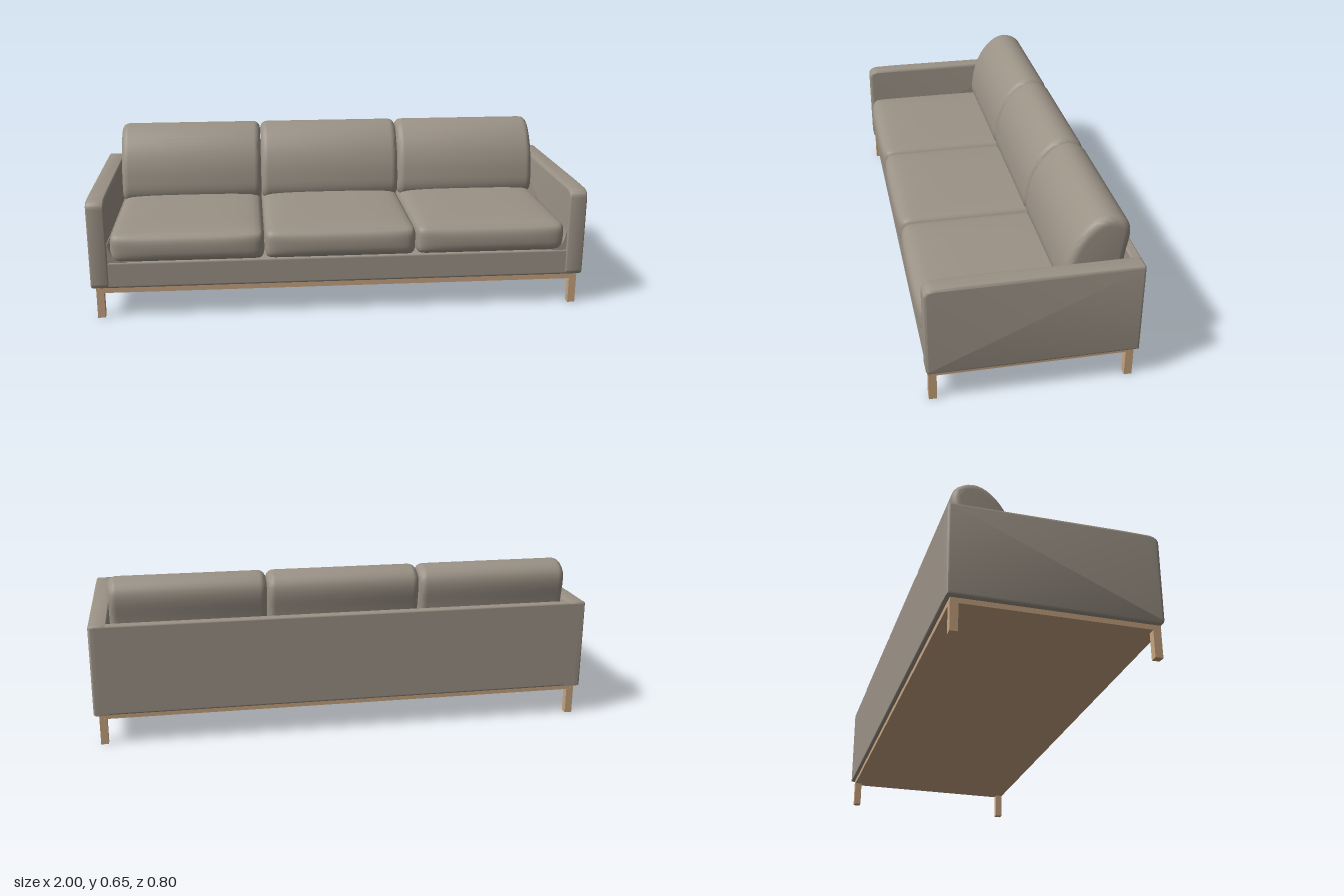
import * as THREE from 'three';
import { mergeVertices, toCreasedNormals } from 'three/addons/utils/BufferGeometryUtils.js';
import { RoundedBoxGeometry } from 'three/addons/geometries/RoundedBoxGeometry.js';

const fabric = new THREE.MeshStandardMaterial({ color: 0x9b9286 });
fabric.name = 'greyFabric';
const wood = new THREE.MeshStandardMaterial({ color: 0xc8a480 });
wood.name = 'lightWood';

function add(group, name, geometry, material, x = 0, y = 0, z = 0) {
  const mesh = new THREE.Mesh(geometry, material);
  mesh.name = name;
  mesh.position.set(x, y, z);
  group.add(mesh);
  return mesh;
}

// Extrude a side profile drawn in (z, y) across x, centred, with rounded ends
function sideExtrude(shape, width, bevel, curveSegments) {
  const geo = new THREE.ExtrudeGeometry(shape, {
    depth: width - bevel * 2, bevelThickness: bevel, bevelSize: bevel,
    bevelOffset: -bevel, bevelSegments: 5, curveSegments,
  });
  geo.translate(0, 0, -width / 2 + bevel);
  geo.rotateY(-Math.PI / 2);
  return toCreasedNormals(geo, 0.7);
}

// Soft box: rounded edges, with a slight dome on top and a bowed front
function cushionGeometry(w, h, d, r) {
  let geo = new THREE.BoxGeometry(2, 2, 2, 18, 12, 18);
  geo.deleteAttribute('normal');
  geo.deleteAttribute('uv');
  geo = mergeVertices(geo);
  const half = new THREE.Vector3(w / 2, h / 2, d / 2);
  const inner = half.clone().subScalar(r);
  const pos = geo.attributes.position;
  const p = new THREE.Vector3(), core = new THREE.Vector3();
  for (let i = 0; i < pos.count; i++) {
    p.fromBufferAttribute(pos, i);
    // Crowd the grid lines towards the edges
    p.set(...p.toArray().map((v) => Math.sin(v * Math.PI / 2)));
    const dome = (1 - p.x ** 4) * (1 - p.z ** 4);
    const bow = (1 - p.x ** 4) * (1 - p.y ** 2);
    const up = Math.max(0, p.y), front = Math.max(0, p.z);
    p.multiply(half);
    core.copy(p).clamp(inner.clone().negate(), inner);
    p.sub(core).setLength(r).add(core);
    p.y += 0.012 * dome * up;
    p.z += 0.012 * bow * front;
    pos.setXYZ(i, p.x, p.y, p.z);
  }
  geo.computeVertexNormals();
  return geo;
}

export function createModel() {
  const sofa = new THREE.Group();
  sofa.name = 'sofa';

  // Wooden base and square legs
  add(sofa, 'woodenBase', new THREE.BoxGeometry(1.96, 0.022, 0.765), wood, 0, 0.117, -0.002);
  for (const x of [-1, 1]) {
    for (const z of [-0.37, 0.365]) {
      add(sofa, 'leg', new THREE.BoxGeometry(0.03, 0.11, 0.03), wood, x * 0.965, 0.055, z);
    }
  }

  // Upholstered platform and back panel
  add(sofa, 'seatPlatform', new RoundedBoxGeometry(1.94, 0.11, 0.775, 3, 0.01), fabric, 0, 0.18, -0.0025);
  add(sofa, 'backPanel', new RoundedBoxGeometry(1.97, 0.364, 0.037, 3, 0.008), fabric, 0, 0.308, -0.3815);

  // Arms with a rounded upper front corner
  const arm = new THREE.Shape();
  arm.moveTo(-0.4, 0.126);
  arm.lineTo(0.375, 0.126);
  arm.quadraticCurveTo(0.39, 0.128, 0.39, 0.145);
  arm.lineTo(0.392, 0.455);
  arm.quadraticCurveTo(0.392, 0.487, 0.35, 0.489);
  arm.lineTo(0.25, 0.491);
  arm.lineTo(-0.39, 0.491);
  arm.quadraticCurveTo(-0.4, 0.491, -0.4, 0.481);
  arm.closePath();
  const armGeo = sideExtrude(arm, 0.072, 0.01, 6);

  // Curved fillet where the arm meets the platform
  const fillet = new THREE.Shape();
  fillet.moveTo(0.94, 0.22);
  fillet.lineTo(0.94, 0.31);
  fillet.lineTo(0.925, 0.31);
  fillet.quadraticCurveTo(0.92, 0.235, 0.85, 0.234);
  fillet.lineTo(0.85, 0.22);
  fillet.closePath();
  const filletGeo = new THREE.ExtrudeGeometry(fillet, { depth: 0.74, bevelEnabled: false, curveSegments: 8 });
  filletGeo.translate(0, 0, -0.37);

  for (const side of [-1, 1]) {
    const name = side > 0 ? 'left' : 'right';
    add(sofa, name + 'Arm', armGeo, fabric, side * 0.964, 0, 0);
    const f = add(sofa, name + 'ArmFillet', filletGeo, fabric, 0, 0, 0.012);
    if (side < 0) f.rotation.y = Math.PI, f.position.z = 0.012;
  }

  // Back cushion profile: leaning, rounded on top
  const outline = new THREE.CatmullRomCurve3([
    [-0.14, 0.335], [-0.122, 0.37], [-0.125, 0.43], [-0.138, 0.495], [-0.165, 0.56],
    [-0.205, 0.613], [-0.245, 0.643], [-0.283, 0.653], [-0.325, 0.643], [-0.356, 0.618],
    [-0.365, 0.58], [-0.352, 0.49], [-0.34, 0.4], [-0.325, 0.335], [-0.23, 0.325],
  ].map(([z, y]) => new THREE.Vector3(z, y, 0)), true);
  const profile = new THREE.Shape(outline.getSpacedPoints(48).slice(0, -1).map((p) => new THREE.Vector2(p.x, p.y)));
  const backGeo = sideExtrude(profile, 0.611, 0.03, 1);
  const seatGeo = cushionGeometry(0.611, 0.125, 0.74, 0.035);

  // Three seat and three back cushions
  for (const i of [-1, 0, 1]) {
    add(sofa, 'seatCushion', seatGeo, fabric, i * 0.613, 0.2875, 0.018);
    add(sofa, 'backCushion', backGeo, fabric, i * 0.613, 0, 0);
  }
  return sofa;
}
